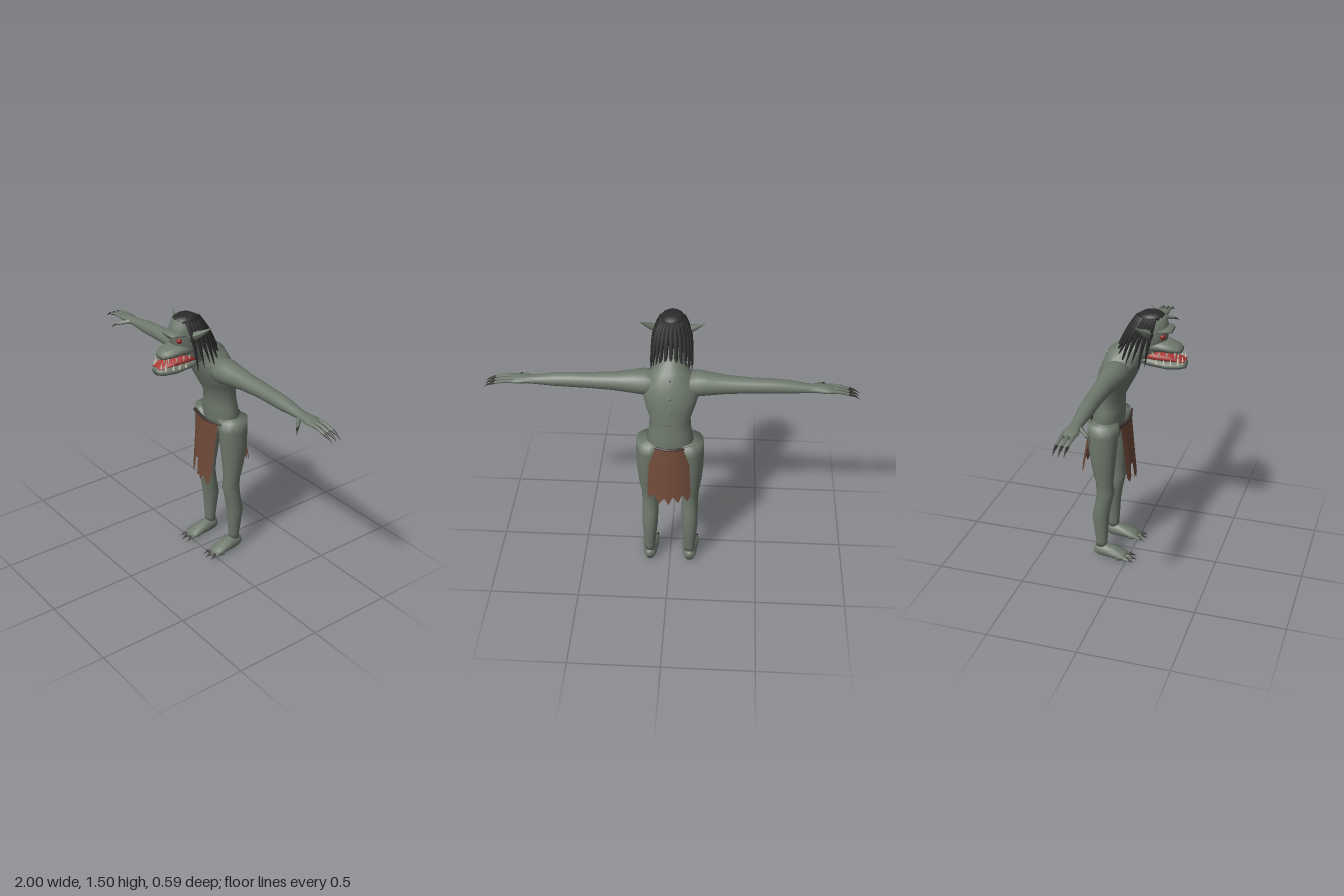
import * as THREE from 'three';

const flat = (name, color, side = THREE.FrontSide) => {
  const m = new THREE.MeshStandardMaterial({ color, side });
  m.name = name;
  return m;
};
const V = (p) => new THREE.Vector3(...p);

// Closed loft along an axis. Ring: [x, y, z, ru, rv, tilt]; for axis y: u = z, v = x;
// for axis x: u = y, v = z; for axis z: u = x, v = y. Rings run in the + direction.
function loft(name, mat, axis, rings, n = 16) {
  const k = 'xyz'.indexOf(axis), u = (k + 1) % 3, v = (k + 2) % 3;
  const pos = [], idx = [];
  for (const r of rings) {
    for (let j = 0; j < n; j++) {
      const a = (j / n) * Math.PI * 2, p = r.slice(0, 3);
      p[u] += Math.cos(a) * r[3];
      p[v] += Math.sin(a) * r[4];
      p[k] += Math.cos(a) * r[3] * (r[5] || 0);
      pos.push(...p);
    }
  }
  const last = rings.length - 1, c0 = rings.length * n, c1 = c0 + 1;
  pos.push(...rings[0].slice(0, 3), ...rings[last].slice(0, 3));
  for (let j = 0; j < n; j++) {
    const j2 = (j + 1) % n;
    for (let i = 0; i < last; i++) {
      const a = i * n + j, b = i * n + j2;
      idx.push(a, b, b + n, a, b + n, a + n);
    }
    idx.push(c0, j2, j, c1, last * n + j, last * n + j2);
  }
  const g = new THREE.BufferGeometry();
  g.setAttribute('position', new THREE.Float32BufferAttribute(pos, 3));
  g.setIndex(idx);
  g.computeVertexNormals();
  const mesh = new THREE.Mesh(g, mat);
  mesh.name = name;
  return mesh;
}

// Curved tube narrowing to end * radius at its tip
function taper(name, mat, points, radius, end = 0.03, power = 1, segs = 6, sides = 7) {
  const curve = new THREE.CatmullRomCurve3(points.map(V));
  const g = new THREE.TubeGeometry(curve, segs, radius, sides);
  const p = g.attributes.position, q = new THREE.Vector3();
  for (let i = 0; i < p.count; i++) {
    const t = Math.floor(i / (sides + 1)) / segs;
    const c = curve.getPointAt(t);
    q.fromBufferAttribute(p, i).sub(c).multiplyScalar(1 - (1 - end) * t ** power).add(c);
    p.setXYZ(i, q.x, q.y, q.z);
  }
  g.computeVertexNormals();
  const mesh = new THREE.Mesh(g, mat);
  mesh.name = name;
  return mesh;
}

// Hanging cloth with a ragged hem; hem: [fraction across, bottom y]
function cloth(name, mat, hem, top, wTop, wBottom, z, slope, curve) {
  const pos = [], idx = [], rows = 4;
  hem.forEach(([t, y], i) => {
    for (let r = 0; r <= rows; r++) {
      const yy = top + (y - top) * (r / rows), f = (top - yy) / (top - 0.46), s = t * 2 - 1;
      pos.push(s * (wTop + (wBottom - wTop) * f), yy, z + slope * f + curve * s * s);
      if (i && r) {
        const a = i * (rows + 1) + r, b = a - rows - 1;
        idx.push(b - 1, b, a, b - 1, a, a - 1);
      }
    }
  });
  const g = new THREE.BufferGeometry();
  g.setAttribute('position', new THREE.Float32BufferAttribute(pos, 3));
  g.setIndex(idx);
  g.computeVertexNormals();
  const mesh = new THREE.Mesh(g, mat);
  mesh.name = name;
  return mesh;
}

export function createModel() {
  const skin = flat('skin', 0x6e786c), hair = flat('hair', 0x2b2b2b);
  const claw = flat('claw', 0x35332f), leather = flat('leather', 0x6d4838, THREE.DoubleSide);
  const cord = flat('cord', 0x3a302c), red = flat('mouth', 0xa83a38);
  const eyeRed = flat('eye', 0x8e2220), ivory = flat('tooth', 0xd6cdb8);
  const spine = flat('spine', 0x878a80);
  const model = new THREE.Group();
  model.name = 'creature';

  // Torso and forward-leaning neck
  model.add(loft('torso', skin, 'y', [
    [0, 0.74, -0.14, 0.06, 0.08], [0, 0.8, -0.14, 0.08, 0.11], [0, 0.87, -0.137, 0.088, 0.13],
    [0, 0.93, -0.13, 0.082, 0.115], [0, 1.0, -0.125, 0.08, 0.11], [0, 1.07, -0.105, 0.095, 0.135],
    [0, 1.14, -0.08, 0.106, 0.155], [0, 1.2, -0.06, 0.105, 0.145], [0, 1.24, -0.04, 0.09, 0.11, -0.4],
    [0, 1.28, 0, 0.07, 0.075, -0.6], [0, 1.33, 0.05, 0.06, 0.06, -0.6]], 20));
  for (const [y, z] of [[1.24, -0.13], [1.15, -0.17], [1.07, -0.185], [1.0, -0.19], [0.93, -0.197]])
    model.add(taper('backSpine', spine, [[0, y - 0.005, z], [0, y + 0.015, z - 0.038]], 0.012, 0.03, 1, 3));

  // Head
  const head = new THREE.Group();
  head.name = 'head';
  model.add(head);
  head.add(loft('skull', skin, 'y', [
    [0, 1.24, 0.06, 0.065, 0.06], [0, 1.3, 0.075, 0.085, 0.073], [0, 1.36, 0.09, 0.103, 0.08],
    [0, 1.42, 0.095, 0.105, 0.082], [0, 1.46, 0.1, 0.09, 0.072], [0, 1.49, 0.107, 0.065, 0.055]], 18));
  head.add(loft('hairCap', hair, 'y', [
    [0, 1.476, 0.1, 0.076, 0.066], [0, 1.492, 0.105, 0.067, 0.059], [0, 1.506, 0.107, 0.045, 0.04]], 16));
  head.add(loft('snout', skin, 'z', [
    [0, 1.325, 0.1, 0.074, 0.035], [0, 1.328, 0.17, 0.074, 0.036], [0, 1.32, 0.22, 0.064, 0.03],
    [0, 1.314, 0.255, 0.05, 0.025], [0, 1.308, 0.273, 0.034, 0.015]]));
  head.add(loft('lowerJaw', skin, 'z', [
    [0, 1.255, 0.02, 0.055, 0.03], [0, 1.238, 0.1, 0.07, 0.034], [0, 1.227, 0.2, 0.072, 0.029],
    [0, 1.226, 0.265, 0.055, 0.025], [0, 1.228, 0.296, 0.038, 0.02]]));
  head.add(loft('mouth', red, 'z', [
    [0, 1.272, 0.05, 0.062, 0.028], [0, 1.271, 0.14, 0.071, 0.028], [0, 1.267, 0.21, 0.062, 0.026],
    [0, 1.258, 0.24, 0.05, 0.014], [0, 1.248, 0.292, 0.036, 0.008]]));
  head.add(loft('brow', skin, 'z', [
    [0, 1.415, 0.15, 0.075, 0.014], [0, 1.42, 0.2, 0.062, 0.015], [0, 1.415, 0.222, 0.045, 0.01]]));
  for (const s of [-1, 1]) {
    const eye = new THREE.Mesh(new THREE.SphereGeometry(0.015, 12, 8), eyeRed);
    eye.name = 'eye';
    eye.position.set(s * 0.045, 1.385, 0.176);
    head.add(eye);
    const ear = taper('ear', skin, [[s * 0.06, 1.4, 0.11], [s * 0.11, 1.425, 0.095], [s * 0.172, 1.472, 0.06]], 0.032);
    head.add(ear);
    // Lower tusks and teeth, then upper teeth
    [[0.03, 0.283, 0.045], [0.045, 0.262, 0.065], [0.06, 0.225, 0.03], [0.067, 0.19, 0.028], [0.068, 0.15, 0.025]]
      .forEach(([x, z, h]) => head.add(taper('lowerTooth', ivory,
        [[s * x, 1.238, z], [s * (x + 0.004), 1.242 + h, z]], 0.008, 0.03, 1, 3, 6)));
    [[0.025, 0.26, 0.03], [0.045, 0.245, 0.038], [0.06, 0.205, 0.028], [0.069, 0.165, 0.028], [0.071, 0.13, 0.025]]
      .forEach(([x, z, h]) => head.add(taper('upperTooth', ivory,
        [[s * x, 1.305, z], [s * x, 1.3 - h, z]], 0.007, 0.03, 1, 3, 6)));
  }

  // Long locks around the sides and back of the skull
  const locks = 17;
  for (let i = 0; i < locks; i++) {
    const a = (i / (locks - 1) * 2 - 1) * 2.05, s = Math.sin(a), c = Math.cos(a);
    const drop = [0.02, 0, 0.035][i % 3];
    head.add(taper('hairLock', hair, [
      [0.058 * s, 1.482, 0.1 - 0.066 * c], [0.09 * s, 1.42, 0.08 - 0.09 * c],
      [0.106 * s, 1.33, 0.055 - 0.115 * c], [0.115 * s, 1.205 + drop, 0.03 - 0.14 * c]], 0.014, 0.05, 2, 8, 6));
  }

  // Arms, hands, legs and feet, mirrored
  for (const s of [1, -1]) {
    const side = new THREE.Group();
    side.name = s > 0 ? 'leftLimbs' : 'rightLimbs';
    side.scale.x = s;
    model.add(side);
    side.add(loft('arm', skin, 'x', [
      [0.06, 1.18, -0.06, 0.06, 0.07], [0.14, 1.18, -0.06, 0.07, 0.078], [0.2, 1.18, -0.062, 0.063, 0.067],
      [0.3, 1.18, -0.066, 0.05, 0.052], [0.44, 1.181, -0.068, 0.041, 0.045], [0.53, 1.18, -0.066, 0.04, 0.042],
      [0.62, 1.178, -0.064, 0.036, 0.04], [0.72, 1.172, -0.063, 0.024, 0.03], [0.77, 1.172, -0.062, 0.02, 0.032],
      [0.82, 1.172, -0.062, 0.02, 0.042], [0.86, 1.17, -0.062, 0.012, 0.038]]));
    for (const z of [-0.091, -0.063, -0.035]) {
      side.add(taper('finger', skin, [[0.83, 1.173, z], [0.89, 1.171, z], [0.955, 1.155, z]], 0.012, 0.6));
      side.add(taper('fingerClaw', claw, [[0.94, 1.16, z], [0.975, 1.149, z], [1, 1.13, z]], 0.009));
    }
    side.add(taper('thumb', skin, [[0.75, 1.17, -0.045], [0.785, 1.16, -0.005], [0.805, 1.15, 0.018]], 0.015, 0.5));
    side.add(taper('thumbClaw', claw, [[0.798, 1.153, 0.01], [0.815, 1.146, 0.027], [0.83, 1.13, 0.042]], 0.009));

    side.add(loft('leg', skin, 'y', [
      [0.115, 0.07, -0.155, 0.032, 0.03], [0.115, 0.1, -0.153, 0.033, 0.03], [0.115, 0.17, -0.155, 0.04, 0.036],
      [0.114, 0.27, -0.157, 0.049, 0.045], [0.112, 0.36, -0.14, 0.048, 0.046], [0.112, 0.43, -0.127, 0.052, 0.046],
      [0.113, 0.49, -0.132, 0.05, 0.048], [0.117, 0.58, -0.136, 0.064, 0.058], [0.115, 0.7, -0.139, 0.08, 0.07],
      [0.11, 0.8, -0.138, 0.087, 0.076], [0.108, 0.862, -0.138, 0.088, 0.076]]));
    side.add(loft('foot', skin, 'z', [
      [0.115, 0.042, -0.192, 0.026, 0.03], [0.115, 0.043, -0.165, 0.036, 0.04], [0.115, 0.042, -0.12, 0.042, 0.041],
      [0.117, 0.033, -0.06, 0.047, 0.031], [0.117, 0.023, -0.015, 0.047, 0.02], [0.117, 0.018, 0, 0.038, 0.014]]));
    for (const d of [-0.032, 0, 0.032]) {
      const x = 0.117 + d, z = -Math.abs(d) * 0.3;
      side.add(taper('toe', skin, [[x, 0.02, z - 0.04], [x, 0.02, z], [x + d * 0.1, 0.013, z + 0.025]], 0.016, 0.55));
      side.add(taper('toeClaw', claw, [[x, 0.018, z + 0.01], [x + d * 0.1, 0.015, z + 0.035], [x + d * 0.2, 0.004, z + 0.057]], 0.01));
    }
  }

  // Ragged loincloth on cords
  model.add(cloth('frontCloth', leather, [
    [0, 0.52], [0.1, 0.49], [0.2, 0.52], [0.24, 0.59], [0.36, 0.595], [0.4, 0.49], [0.5, 0.505],
    [0.58, 0.475], [0.7, 0.51], [0.8, 0.48], [0.93, 0.455], [1, 0.55]], 0.855, 0.1, 0.082, -0.018, 0.038, -0.022));
  model.add(cloth('backCloth', leather, [
    [0, 0.56], [0.08, 0.53], [0.18, 0.58], [0.28, 0.53], [0.4, 0.57], [0.5, 0.52], [0.6, 0.56],
    [0.72, 0.52], [0.84, 0.58], [0.93, 0.54], [1, 0.57]], 0.855, 0.105, 0.125, -0.237, -0.07, 0.035));
  model.add(taper('frontCord', cord, [[-0.12, 0.852, -0.045], [0, 0.85, -0.02], [0.13, 0.85, -0.045]], 0.01, 0.5, 2, 10));
  model.add(taper('backCord', cord, [[-0.12, 0.855, -0.2], [0, 0.855, -0.235], [0.12, 0.855, -0.2]], 0.008, 0.6, 2, 10));
  return model;
}
